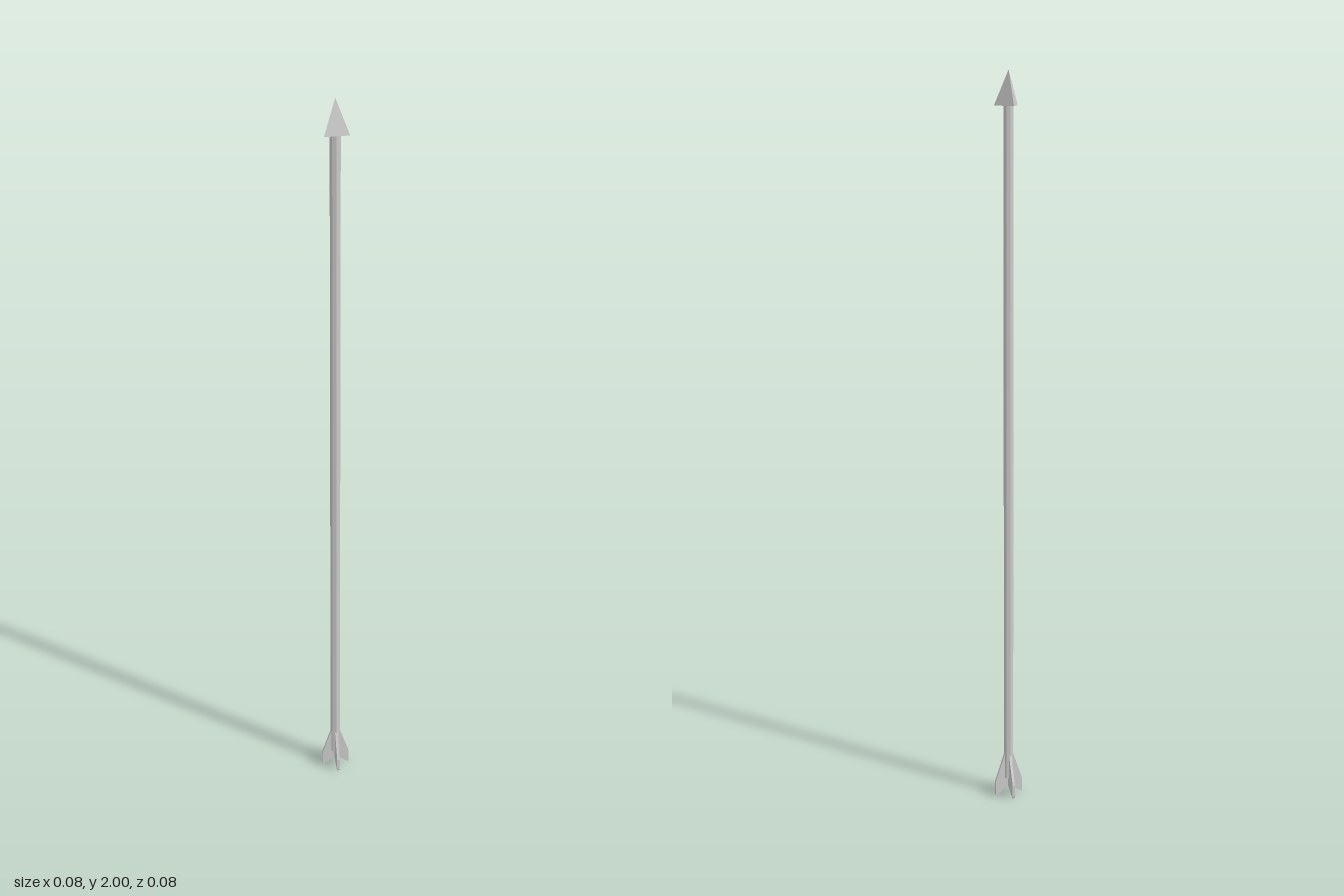
import * as THREE from 'three';

export function createModel() {
  const arrow = new THREE.Group();
  arrow.name = 'arrow';
  const material = new THREE.MeshStandardMaterial({ color: 0xcccccc, flatShading: true });
  const add = (name, geometry) => {
    const mesh = new THREE.Mesh(geometry, material);
    mesh.name = name;
    arrow.add(mesh);
    return mesh;
  };

  // Long slim shaft
  const bottom = 0.05, top = 1.92;
  add('shaft', new THREE.CylinderGeometry(0.014, 0.014, top - bottom, 8))
    .position.y = (bottom + top) / 2;

  // Three-sided point with one edge towards the back
  const head = add('arrowhead', new THREE.ConeGeometry(0.038, 0.09, 3));
  head.position.y = 1.955;
  head.rotation.y = Math.PI;

  // Four swept-back fins around the tail
  const thickness = 0.007;
  const outline = new THREE.Shape([
    [0, 0.03], [0.034, 0.003], [0.038, 0], [0.04, 0.006], [0.04, 0.04],
    [0.037, 0.05], [0.013, 0.12], [0, 0.12],
  ].map(([x, y]) => new THREE.Vector2(x, y)));
  const finGeometry = new THREE.ExtrudeGeometry(outline, { depth: thickness, bevelEnabled: false });
  finGeometry.translate(0, 0, -thickness / 2);
  for (let i = 0; i < 4; i++) {
    add('fin' + (i + 1), finGeometry).rotation.y = i * Math.PI / 2;
  }
  return arrow;
}
